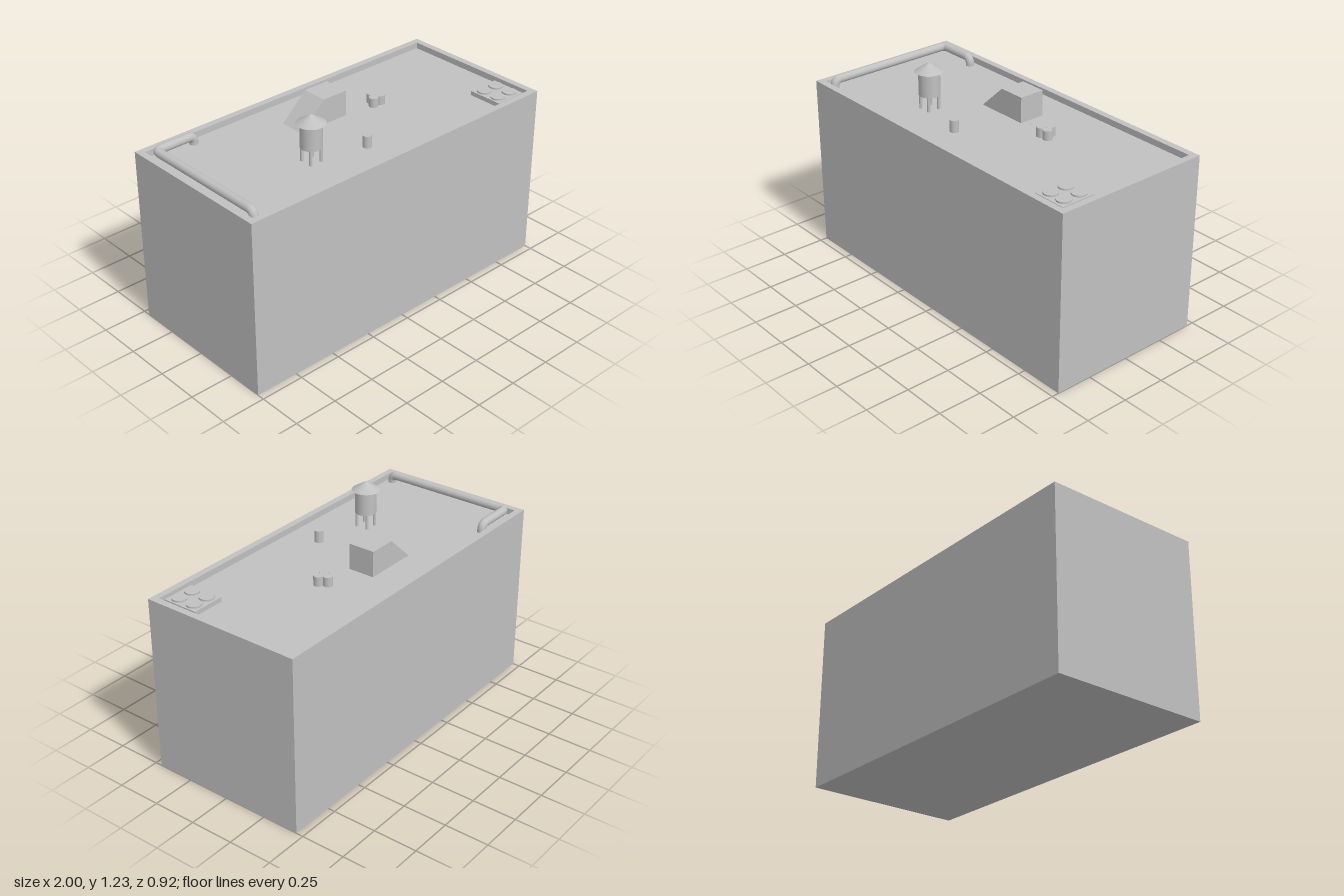
import * as THREE from 'three';

export function createModel() {
  const model = new THREE.Group();
  const concrete = new THREE.MeshStandardMaterial({ color: 0xc0c0c0 });
  concrete.name = 'concreteGrey';
  const FLOOR = 0.965; // sunken roof deck inside the parapet

  const add = (name, geometry, x = 0, y = 0, z = 0, parent = model) => {
    const mesh = new THREE.Mesh(geometry, concrete);
    mesh.name = name;
    mesh.position.set(x, y, z);
    parent.add(mesh);
    return mesh;
  };
  // Upright cylinder between two heights
  const post = (name, r, y0, y1, x, z, parent = model, sides = 24) =>
    add(name, new THREE.CylinderGeometry(r, r, y1 - y0, sides), x, (y0 + y1) / 2, z, parent);

  // Walls and parapet: rectangular rings joined from the ground, over the rim, to the deck
  const rings = [[1, 0.46, 0], [1, 0.46, 1], [0.962, 0.422, 1], [0.962, 0.422, FLOOR]];
  const corners = [[-1, 1], [1, 1], [1, -1], [-1, -1]];
  const at = (r, c) => [rings[r][0] * corners[c % 4][0], rings[r][2], rings[r][1] * corners[c % 4][1]];
  const verts = [];
  for (let r = 0; r < rings.length - 1; r++) {
    for (let c = 0; c < 4; c++) {
      const [p, q, s, t] = [at(r, c), at(r, c + 1), at(r + 1, c + 1), at(r + 1, c)];
      verts.push(...p, ...q, ...s, ...p, ...s, ...t);
    }
  }
  const walls = new THREE.BufferGeometry();
  walls.setAttribute('position', new THREE.Float32BufferAttribute(verts, 3));
  walls.computeVertexNormals();
  add('wallsAndParapet', walls);
  add('roofDeck', new THREE.PlaneGeometry(1.924, 0.844).rotateX(-Math.PI / 2), 0, FLOOR, 0);
  add('underside', new THREE.PlaneGeometry(2, 0.92).rotateX(Math.PI / 2));

  // Stair hut with a sloping side
  const profile = new THREE.Shape([[-0.218, FLOOR], [0.092, FLOOR], [0.092, 1.11], [-0.062, 1.11]]
    .map(([x, y]) => new THREE.Vector2(x, y)));
  add('stairHut', new THREE.ExtrudeGeometry(profile, { depth: 0.15, bevelEnabled: false }), 0, 0, -0.236);

  // Water tower on four legs
  const tower = new THREE.Group();
  tower.name = 'waterTower';
  tower.position.set(-0.367, 0, 0.159);
  model.add(tower);
  post('tank', 0.0585, 1.047, 1.18, 0, 0, tower, 32);
  add('tankRoof', new THREE.ConeGeometry(0.078, 0.05, 32), 0, 1.205, 0, tower);
  for (const [sx, sz] of corners) post('towerLeg', 0.009, FLOOR, 1.05, sx * 0.034, sz * 0.034, tower, 12);

  // Vents: one single, one cluster of three
  post('singleVent', 0.025, FLOOR, 1.033, -0.06, 0.239);
  for (let i = 0; i < 3; i++) {
    const a = -Math.PI / 2 + (i * Math.PI * 2) / 3;
    post('clusterVent', 0.026, FLOOR, 1.018, 0.297 + 0.028 * Math.cos(a), -0.078 + 0.028 * Math.sin(a));
  }

  // Cooling unit with four fan caps
  add('coolingUnit', new THREE.BoxGeometry(0.19, 0.99 - FLOOR, 0.204), 0.846, (0.99 + FLOOR) / 2, 0.304);
  for (const [sx, sz] of corners) post('fanCap', 0.04, 0.989, 0.999, 0.846 + sx * 0.045, 0.304 + sz * 0.049);

  // Duct that rises from the deck, turns the corner and drops again
  const v = (x, y, z) => new THREE.Vector3(x, y, z);
  const points = [v(-0.925, FLOOR, 0.387), v(-0.925, 1.009, 0.387), v(-0.925, 1.009, -0.384),
    v(-0.69, 1.009, -0.384), v(-0.69, FLOOR, -0.384)];
  const bend = 0.036;
  const path = new THREE.CurvePath();
  let last = points[0];
  for (let i = 1; i < points.length - 1; i++) {
    const p = points[i];
    const toward = (q) => p.clone().add(q.clone().sub(p).setLength(bend));
    const start = toward(points[i - 1]), end = toward(points[i + 1]);
    path.add(new THREE.LineCurve3(last, start));
    path.add(new THREE.QuadraticBezierCurve3(start, p, end));
    last = end;
  }
  path.add(new THREE.LineCurve3(last, points[4]));
  add('duct', new THREE.TubeGeometry(path, 160, 0.024, 16));

  return model;
}
